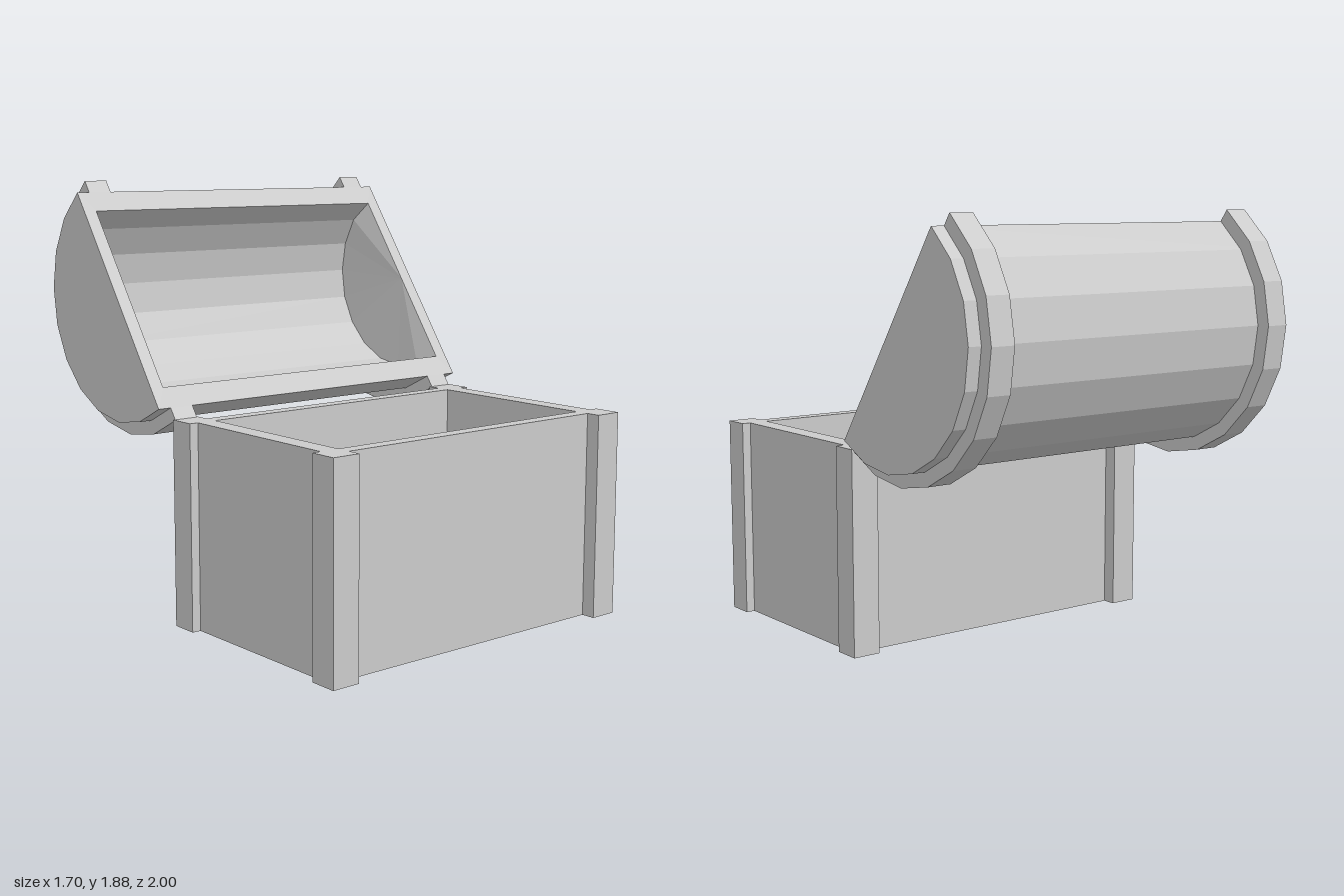
import * as THREE from 'three';

const material = new THREE.MeshStandardMaterial({ color: 0xcccccc, flatShading: true });
const STEPS = 10; // facets of the half-round lid

function addMesh(parent, name, geometry, x = 0, y = 0, z = 0) {
  const mesh = new THREE.Mesh(geometry, material);
  mesh.name = name;
  mesh.position.set(x, y, z);
  parent.add(mesh);
  return mesh;
}

// Rectangle of half sizes w, h with a smaller rectangular hole
function frameShape(w, h, holeW, holeH) {
  const corners = (a, b) => [[-a, -b], [a, -b], [a, b], [-a, b]].map(p => new THREE.Vector2(...p));
  const shape = new THREE.Shape(corners(w, h));
  shape.holes.push(new THREE.Path(corners(holeW, holeH).reverse()));
  return shape;
}

// Half barrel with fan-shaped ends; inward flips the faces for a cavity
function halfBarrel(radius, halfWidth, midHalfWidth, drop, inward) {
  const rows = [];
  for (let k = 0; k <= STEPS; k++) {
    const t = Math.PI * k / STEPS;
    const end = k === 0 || k === STEPS;
    const w = end ? halfWidth : midHalfWidth;
    const y = end ? 0 : radius * Math.sin(t) - drop;
    const z = -radius * Math.cos(t);
    rows.push([[-halfWidth, 0, 0], [-w, y, z], [w, y, z], [halfWidth, 0, 0]]);
  }
  const positions = [];
  const tri = (a, b, c) => positions.push(...a, ...(inward ? c : b), ...(inward ? b : c));
  for (let k = 0; k < STEPS; k++) {
    const r = rows[k], n = rows[k + 1];
    tri(r[0], n[1], r[1]);
    tri(r[1], n[1], n[2]);
    tri(r[1], n[2], r[2]);
    tri(r[2], n[2], r[3]);
  }
  const geometry = new THREE.BufferGeometry();
  geometry.setAttribute('position', new THREE.Float32BufferAttribute(positions, 3));
  geometry.computeVertexNormals();
  return geometry;
}

// Half ring strap around the lid, running along x by its width
function strapGeometry(inner, outer, width) {
  const arc = r => Array.from({ length: STEPS + 1 }, (_, k) => {
    const t = Math.PI * k / STEPS;
    return new THREE.Vector2(r * Math.cos(t), r * Math.sin(t));
  });
  const shape = new THREE.Shape([...arc(outer), ...arc(inner).reverse()]);
  return new THREE.ExtrudeGeometry(shape, { depth: width, bevelEnabled: false })
    .translate(0, 0, -width / 2).rotateY(Math.PI / 2);
}

// Lumpy low-poly surface of the contents
function heapGeometry(width, depth) {
  let seed = 17;
  const rand = () => {
    seed = (seed * 16807) % 2147483647;
    return seed / 2147483647 - 0.5;
  };
  const n = 8;
  const geometry = new THREE.PlaneGeometry(width, depth, n, n).rotateX(-Math.PI / 2);
  const p = geometry.attributes.position;
  for (let i = 0; i < p.count; i++) {
    const col = i % (n + 1), row = Math.floor(i / (n + 1));
    const dx = rand() * 0.08, dy = rand() * 0.09, dz = rand() * 0.06;
    if (col > 0 && col < n) p.setX(i, p.getX(i) + dx);
    if (row > 0 && row < n) p.setZ(i, p.getZ(i) + dz);
    const mound = Math.sin(Math.PI * col / n) * Math.sin(Math.PI * row / n);
    p.setY(i, dy + 0.05 * mound);
  }
  geometry.computeVertexNormals();
  return geometry;
}

export function createModel() {
  const chest = new THREE.Group();
  chest.name = 'chest';

  // Base: walls, floor, corner posts and contents
  const base = new THREE.Group();
  base.name = 'base';
  base.position.z = 0.472;
  chest.add(base);
  const height = 0.895;
  const walls = new THREE.ExtrudeGeometry(frameShape(0.757, 0.466, 0.67, 0.403),
    { depth: height, bevelEnabled: false }).rotateX(-Math.PI / 2);
  addMesh(base, 'walls', walls);
  addMesh(base, 'floor', new THREE.BoxGeometry(1.34, 0.08, 0.806), 0, 0.04, 0);
  for (const sx of [-1, 1]) {
    for (const sz of [-1, 1]) {
      addMesh(base, 'cornerPost', new THREE.BoxGeometry(0.127, height, 0.124),
        sx * 0.7335, height / 2, sz * 0.466);
    }
  }
  addMesh(base, 'contents', heapGeometry(1.34, 0.806), 0, 0.635, 0);

  // Lid: modelled closed with the dome up, then swung open
  const lid = new THREE.Group();
  lid.name = 'lid';
  lid.position.set(0, 1.385, -0.395);
  lid.rotation.x = THREE.MathUtils.degToRad(-125.1);
  chest.add(lid);
  addMesh(lid, 'lidShell', halfBarrel(0.542, 0.85, 0.85, 0, false));
  addMesh(lid, 'lidCavity', halfBarrel(0.443, 0.79, 0.765, 0.02, true));
  addMesh(lid, 'lidRim', new THREE.ShapeGeometry(frameShape(0.85, 0.542, 0.79, 0.443)).rotateX(Math.PI / 2));
  for (const sx of [-1, 1]) {
    addMesh(lid, 'lidStrap', strapGeometry(0.542, 0.602, 0.11), sx * 0.735, 0, 0);
  }
  return chest;
}
